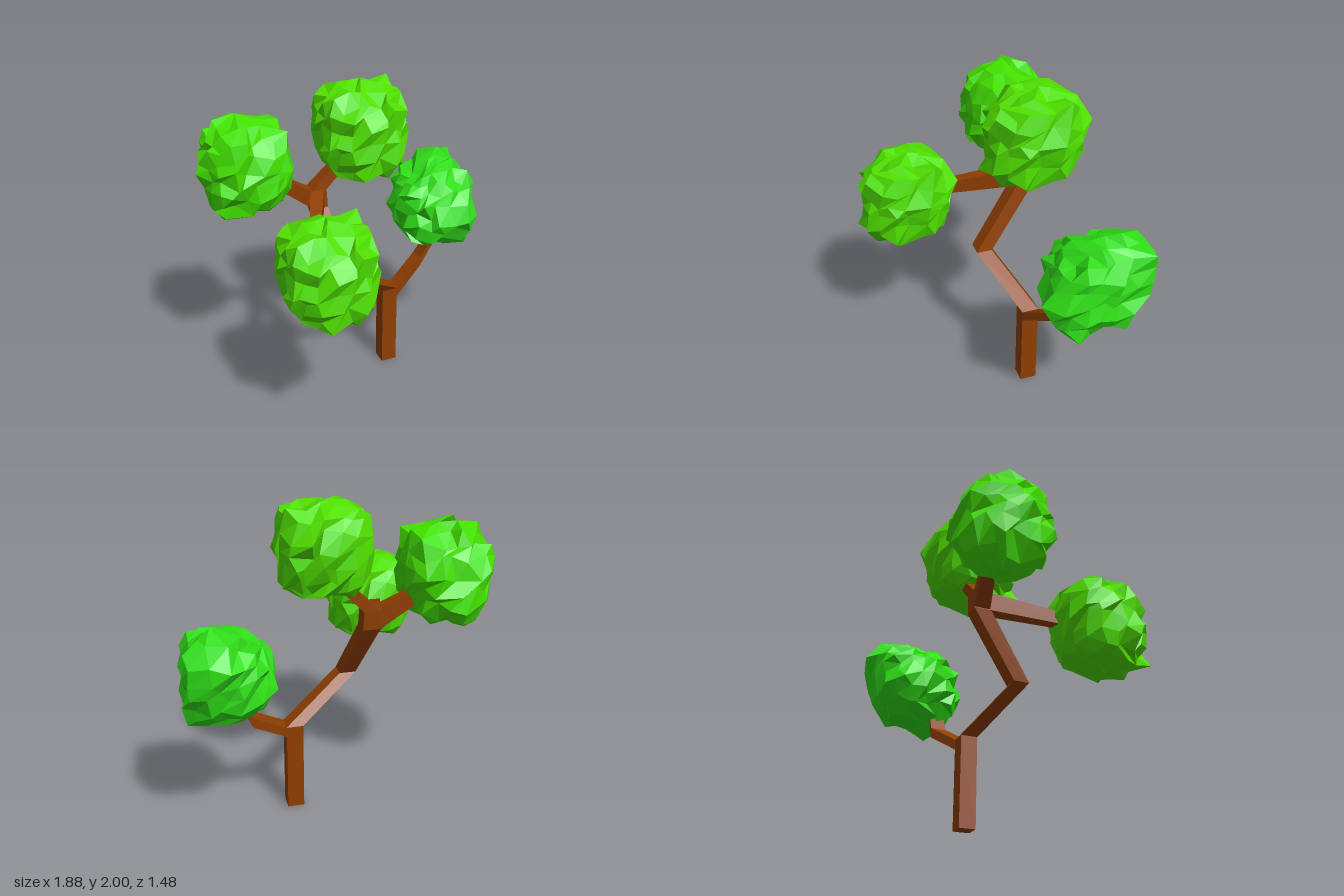
import * as THREE from 'three';

const bark = new THREE.MeshStandardMaterial({ color: 0x8e3e02, flatShading: true });

// Rectangular cross-section lying across the given axis, half sizes a and b
function section(axis, x, y, z, a, b) {
  return [[-1, -1], [1, -1], [1, 1], [-1, 1]].map(([s, t]) => {
    if (axis === 'y') return new THREE.Vector3(x + s * a, y, z + t * b);
    if (axis === 'x') return new THREE.Vector3(x, y + s * a, z + t * b);
    return new THREE.Vector3(x + s * a, y + t * b, z);
  });
}

// Four-sided limb lofted through sections, capped at both ends
function limb(name, sections) {
  const rings = sections.map((s) => section(...s));
  const tris = [];
  const quad = (a, b, c, d) => tris.push([a, b, c], [a, c, d]);
  for (let i = 0; i < rings.length - 1; i++) {
    for (let j = 0; j < 4; j++) {
      const k = (j + 1) % 4;
      quad(rings[i][j], rings[i][k], rings[i + 1][k], rings[i + 1][j]);
    }
  }
  const end = rings[rings.length - 1];
  quad(rings[0][3], rings[0][2], rings[0][1], rings[0][0]);
  quad(end[0], end[1], end[2], end[3]);
  // Turn the faces outward if the loft ran the other way round
  const cross = new THREE.Vector3();
  const volume = tris.reduce((v, [a, b, c]) => v + a.dot(cross.crossVectors(b, c)), 0);
  if (volume < 0) tris.forEach((t) => t.reverse());
  const geo = new THREE.BufferGeometry().setFromPoints(tris.flat());
  geo.computeVertexNormals();
  const mesh = new THREE.Mesh(geo, bark);
  mesh.name = name;
  return mesh;
}

// Repeatable value in -0.5..0.5 for a lattice point
function hash(x, y, z, seed) {
  const h = Math.sin(x * 12.99 + y * 78.23 + z * 37.72 + seed * 4.13) * 43758.55;
  return h - Math.floor(h) - 0.5;
}

// How far a direction reaches towards a polar outline of evenly spaced radii
function reach(outline, u, v) {
  const n = outline.length;
  const t = ((Math.atan2(v, u) / (Math.PI * 2) + 1) % 1) * n;
  const i = Math.floor(t);
  const radius = THREE.MathUtils.lerp(outline[i % n], outline[(i + 1) % n], t - i);
  return Math.hypot(u, v) / radius;
}

// Rugged leaf clump: a rounded cube whose points fill three crossing outlines
// (across z, x and y), with jitter and a few points pulled out to spikes
function clump(name, color, centre, { across, along, plan, spikes }, seed) {
  const geo = new THREE.BoxGeometry(5, 5, 5, 5, 5, 5);
  const pos = geo.attributes.position;
  const points = [];
  for (let i = 0; i < pos.count; i++) {
    const p = new THREE.Vector3().fromBufferAttribute(pos, i);
    const [x, y, z] = p.toArray().map((c) => Math.round(c * 2));
    const spread = (c, k) => Math.tan(c * Math.PI / 20) + 0.28 * hash(x, y, z, seed + k);
    p.set(spread(x, 1), spread(y, 2), spread(z, 3)).normalize();
    const sum = reach(across, p.x, p.y) ** 7 + reach(along, -p.z, p.y) ** 7 + reach(plan, p.x, -p.z) ** 7;
    points.push(p.multiplyScalar((1.02 + 0.21 * hash(x, y, z, seed)) * sum ** (-1 / 7)));
  }
  for (const s of spikes) {
    const spike = new THREE.Vector3(...s);
    const nearest = points.reduce((a, b) => (b.angleTo(spike) < a.angleTo(spike) ? b : a)).clone();
    points.filter((p) => p.distanceTo(nearest) < 1e-4).forEach((p) => p.copy(spike));
  }
  points.forEach((p, i) => pos.setXYZ(i, p.x, p.y, p.z));
  geo.computeVertexNormals();
  const mesh = new THREE.Mesh(geo, new THREE.MeshStandardMaterial({ color, flatShading: true }));
  mesh.name = name;
  mesh.position.set(...centre);
  return mesh;
}

// Clump outlines, counter-clockwise in steps of 22.5 degrees, and spike tips
const boxyClump = {
  across: [0.29, 0.30, 0.33, 0.30, 0.28, 0.29, 0.30, 0.30, 0.29, 0.30, 0.34, 0.31, 0.29, 0.31, 0.32, 0.28],
  along: [0.28, 0.33, 0.33, 0.30, 0.29, 0.30, 0.30, 0.30, 0.30, 0.31, 0.35, 0.31, 0.29, 0.28, 0.30, 0.27],
  plan: [0.29, 0.31, 0.34, 0.32, 0.32, 0.32, 0.30, 0.29, 0.28, 0.28, 0.27, 0.29, 0.31, 0.33, 0.31, 0.29],
  spikes: [[-0.08, -0.23, 0.31], [0.2, -0.27, 0.1], [0.24, 0.27, -0.14], [0.02, 0.29, -0.02], [0.13, 0.1, -0.31]],
};
const tallClump = {
  across: [0.29, 0.31, 0.34, 0.32, 0.32, 0.31, 0.28, 0.25, 0.28, 0.26, 0.31, 0.35, 0.33, 0.32, 0.31, 0.29],
  along: [0.33, 0.31, 0.29, 0.31, 0.32, 0.31, 0.30, 0.30, 0.30, 0.30, 0.30, 0.31, 0.32, 0.32, 0.33, 0.34],
  plan: [0.29, 0.30, 0.31, 0.33, 0.33, 0.33, 0.26, 0.26, 0.28, 0.25, 0.26, 0.28, 0.29, 0.32, 0.34, 0.31],
  spikes: [[-0.29, 0, 0.04], [-0.14, -0.33, 0.02], [-0.02, 0.32, 0]],
};
const leaningClump = {
  across: [0.28, 0.31, 0.33, 0.33, 0.26, 0.23, 0.23, 0.26, 0.28, 0.29, 0.29, 0.30, 0.29, 0.32, 0.36, 0.30],
  along: [0.31, 0.38, 0.36, 0.33, 0.28, 0.26, 0.23, 0.25, 0.31, 0.34, 0.32, 0.33, 0.28, 0.28, 0.28, 0.29],
  plan: [0.28, 0.30, 0.37, 0.35, 0.35, 0.32, 0.28, 0.28, 0.28, 0.28, 0.27, 0.28, 0.31, 0.36, 0.32, 0.29],
  spikes: [[0.26, 0.24, -0.26], [0.21, -0.32, 0.14], [0.12, -0.06, 0.35], [0.1, 0.32, -0.11], [0.02, 0.14, -0.35]],
};

export function createModel() {
  const tree = new THREE.Group();
  tree.name = 'tree';

  // Trunk, bending into the main limb and ending in the upper fork
  tree.add(limb('trunk', [
    ['y', 0.25, 0, -0.174, 0.052, 0.053],
    ['y', 0.25, 0.575, -0.174, 0.052, 0.053],
    ['y', -0.13, 0.82, 0.005, 0.052, 0.05],
    ['y', -0.195, 1.22, -0.28, 0.053, 0.055],
    ['y', -0.2, 1.34, -0.285, 0.053, 0.055],
  ]));

  // Branches
  tree.add(limb('rightBranch', [
    ['x', 0.3, 0.543, -0.174, 0.032, 0.053],
    ['x', 0.515, 0.682, -0.266, 0.032, 0.05],
    ['x', 0.645, 0.91, -0.25, 0.02, 0.045],
  ]));
  tree.add(limb('frontBranch', [
    ['z', -0.205, 1.28, -0.24, 0.045, 0.06],
    ['z', -0.37, 1.18, 0.17, 0.032, 0.04],
    ['z', -0.39, 1.16, 0.25, 0.03, 0.035],
  ]));
  tree.add(limb('leftBranch', [
    ['x', -0.245, 1.28, -0.285, 0.058, 0.053],
    ['x', -0.48, 1.43, -0.33, 0.04, 0.04],
  ]));
  tree.add(limb('topBranch', [
    ['y', -0.2, 1.33, -0.285, 0.05, 0.052],
    ['y', -0.01, 1.51, -0.29, 0.04, 0.045],
  ]));

  // Leaf clumps
  tree.add(clump('topFoliage', 0x4fe000, [0.075, 1.71, -0.24], boxyClump, 3));
  tree.add(clump('frontFoliage', 0x4fe000, [-0.395, 1.17, 0.43], boxyClump, 3));
  tree.add(clump('leftFoliage', 0x42e000, [-0.65, 1.55, -0.31], tallClump, 11));
  tree.add(clump('rightFoliage', 0x30e018, [0.66, 1.07, -0.39], leaningClump, 37));

  return tree;
}
